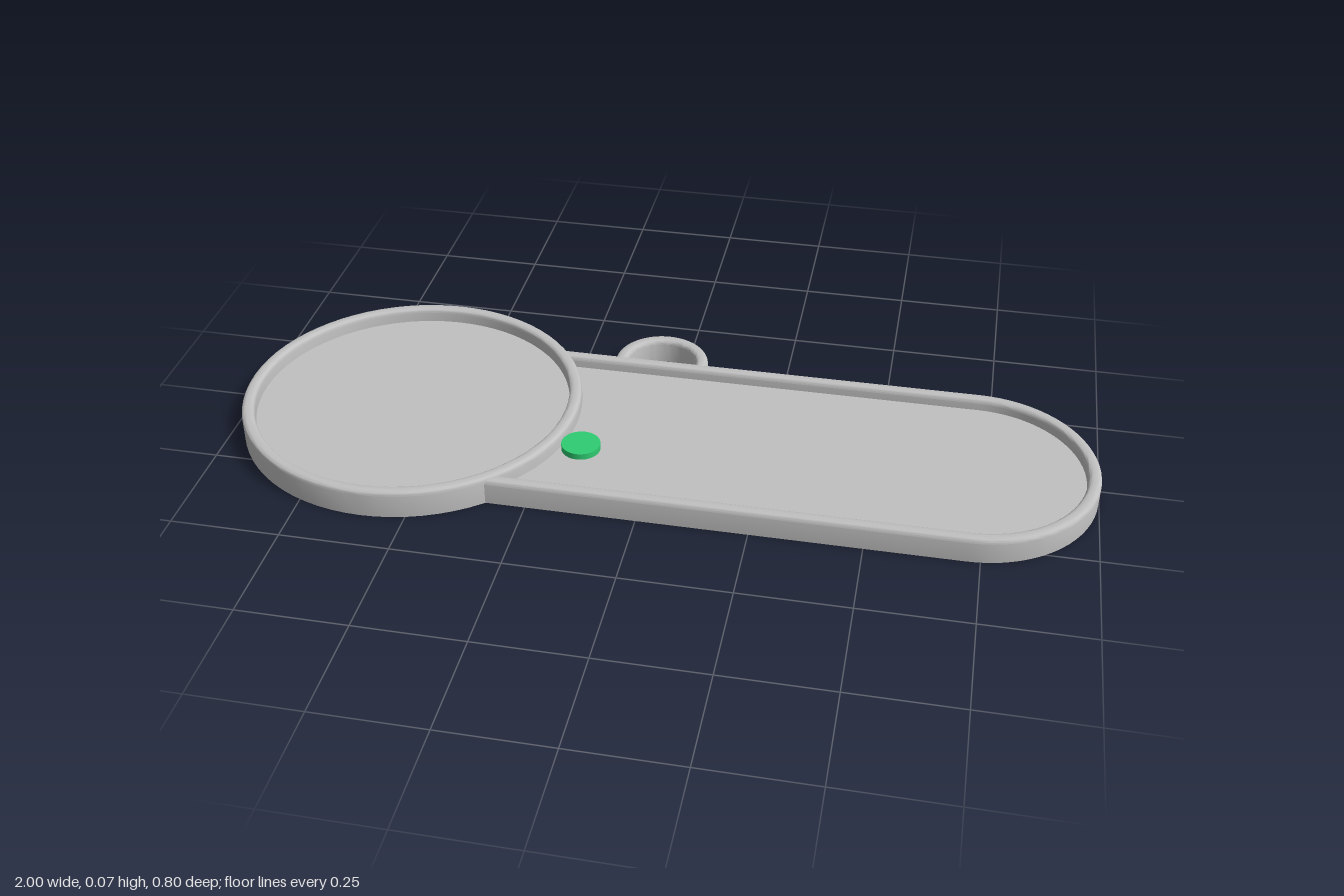
import * as THREE from 'three';
import { toCreasedNormals } from 'three/addons/utils/BufferGeometryUtils.js';

const grey = new THREE.MeshStandardMaterial({ color: 0xc0c0c0 });
grey.name = 'light grey';
const green = new THREE.MeshStandardMaterial({ color: 0x2ecc71 });
green.name = 'green';

const RIM = 0.03;     // width of the raised rims
const FLOOR = 0.032;  // height of the recessed floors
const BAR = { x: 0.72, z: 0.024, r: 0.28 };
const DISC = { x: -0.6, r: 0.4 };

// Arc of outline points, each with its inward normal: [x, z, nx, nz]
function arc(cx, cz, r, a0, a1, steps) {
  return Array.from({ length: steps + 1 }, (_, i) => {
    const a = a0 + (a1 - a0) * i / steps, c = Math.cos(a), s = Math.sin(a);
    return [cx + r * c, cz + r * s, -c, -s];
  });
}

// Closed rim cross-section with rounded top edges: [inset, y]
function rimProfile(height, round = 0.01) {
  const pts = [[0, 0]];
  for (const [cx, start] of [[round, Math.PI], [RIM - round, Math.PI / 2]]) {
    for (let k = 0; k <= 4; k++) {
      const a = start - k * Math.PI / 8;
      pts.push([cx + round * Math.cos(a), height - round + round * Math.sin(a)]);
    }
  }
  pts.push([RIM, 0], [0, 0]);
  return pts;
}

// Sweep the rim cross-section along an outline
function rim(path, height) {
  const profile = rimProfile(height), n = profile.length, pos = [], idx = [];
  for (const [x, z, nx, nz] of path)
    for (const [d, y] of profile) pos.push(x + nx * d, y, z + nz * d);
  for (let i = 0; i < path.length - 1; i++) {
    for (let j = 0; j < n - 1; j++) {
      const a = i * n + j, b = a + n;
      idx.push(a, a + 1, b + 1, a, b + 1, b);
    }
  }
  const g = new THREE.BufferGeometry();
  g.setAttribute('position', new THREE.Float32BufferAttribute(pos, 3));
  g.setIndex(idx);
  return toCreasedNormals(g, 0.5);
}

export function createModel() {
  const model = new THREE.Group();
  const add = (name, geometry, material = grey) => {
    const mesh = new THREE.Mesh(geometry, material);
    mesh.name = name;
    model.add(mesh);
    return mesh;
  };
  const H = Math.PI / 2;

  // Round tray: floor and rim
  add('discFloor', new THREE.CylinderGeometry(0.385, 0.385, FLOOR, 72))
    .position.set(DISC.x, FLOOR / 2, 0);
  add('discRim', rim(arc(DISC.x, 0, DISC.r, 0, Math.PI * 2, 72), 0.066));

  // Long tray: floor stops inside the disc rim
  const shape = new THREE.Shape();
  shape.absarc(BAR.x, BAR.z, BAR.r - 0.01, -H, H, false);
  const lo = BAR.z - BAR.r + 0.01, hi = BAR.z + BAR.r - 0.01;
  shape.absarc(DISC.x, 0, 0.385, Math.asin(hi / 0.385), Math.asin(lo / 0.385), true);
  const plate = new THREE.ExtrudeGeometry(shape, { depth: FLOOR, bevelEnabled: false, curveSegments: 36 });
  plate.rotateX(H).translate(0, FLOOR, 0);
  add('barFloor', plate);

  // U-shaped rim of the long tray
  add('barRim', rim([
    [-0.3, BAR.z - BAR.r, 0, 1],
    ...arc(BAR.x, BAR.z, BAR.r, -H, H, 36),
    [-0.345, BAR.z + BAR.r, 0, -1],
  ], 0.06));

  // Hanging loop on the back edge
  add('hangingLoop', rim([
    [-0.163, -0.24, 1, 0],
    ...arc(-0.05, -0.257, 0.113, Math.PI, Math.PI * 2, 32),
    [0.063, -0.24, -1, 0],
  ], 0.06));

  // Green button
  add('button', new THREE.CylinderGeometry(0.045, 0.045, 0.016, 40), green)
    .position.set(-0.168, FLOOR + 0.007, 0.104);

  return model;
}
